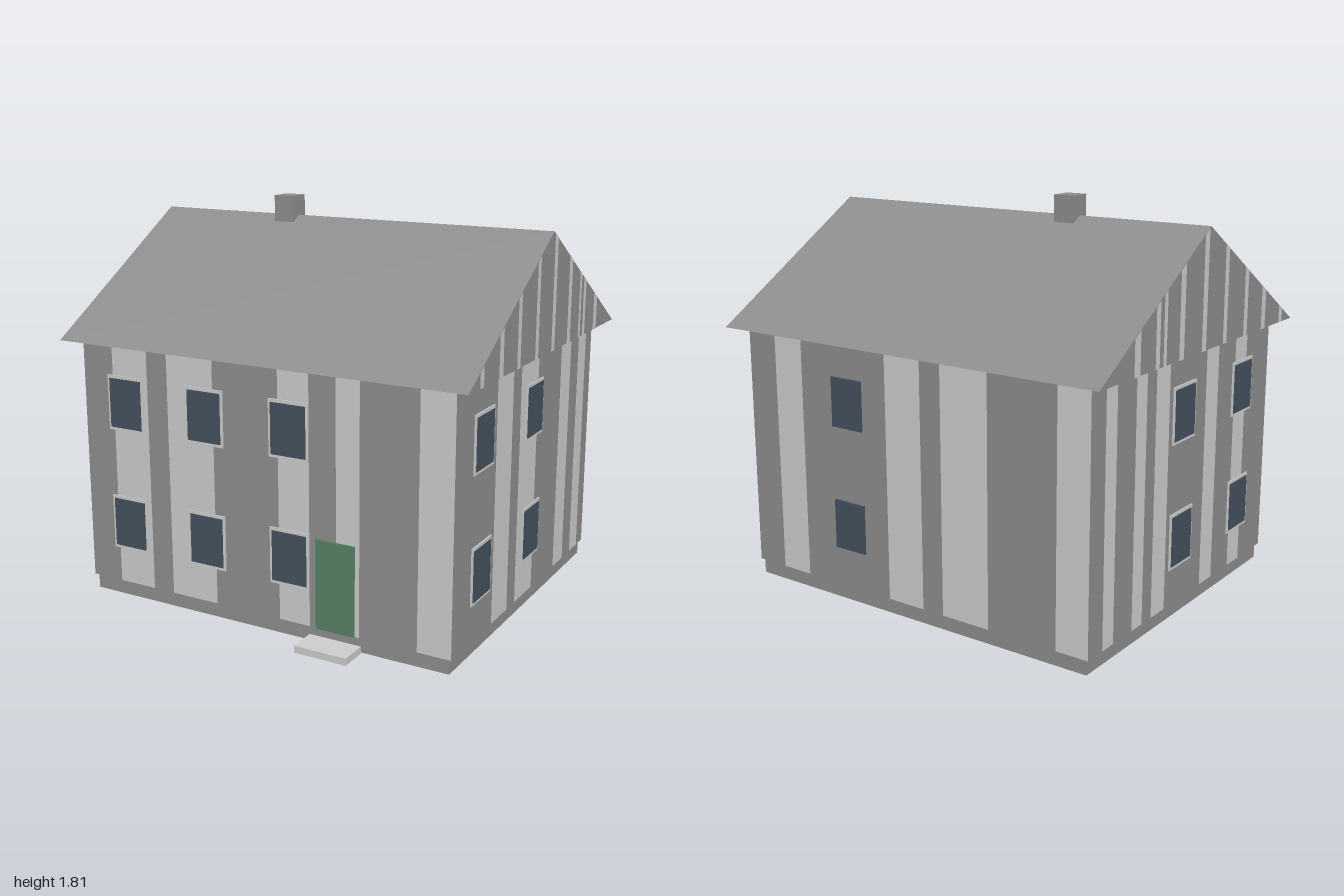
import * as THREE from 'three';

const mat = (name, color) => {
  const m = new THREE.MeshStandardMaterial({ color });
  m.name = name;
  return m;
};

export function createModel() {
  const house = new THREE.Group();
  house.name = 'house';

  const stone = mat('mid grey', 0x8e8e8e);
  const pale = mat('pale grey', 0xcdcdcd);
  const glass = mat('window blue', 0x44515f);
  const green = mat('door green', 0x588266);

  const add = (parent, name, geometry, material) => {
    const mesh = new THREE.Mesh(geometry, material);
    mesh.name = name;
    parent.add(mesh);
    return mesh;
  };

  // Box given by its limits on each axis
  const box = (parent, name, material, x0, x1, y0, y1, z0, z1) => {
    const g = new THREE.BoxGeometry(x1 - x0, y1 - y0, z1 - z0);
    g.translate((x0 + x1) / 2, (y0 + y1) / 2, (z0 + z1) / 2);
    return add(parent, name, g, material);
  };

  // Main masses
  box(house, 'plinth', stone, -0.91, 0.91, 0, 0.07, -0.797, 0.74);
  box(house, 'walls', stone, -0.923, 0.923, 0.07, 1.2, -0.808, 0.753);
  box(house, 'chimney', stone, -0.36, -0.26, 1.69, 1.81, -0.085, 0.02);
  box(house, 'doorstep', pale, 0.26, 0.51, 0.003, 0.035, 0.755, 0.885);

  // Roof: triangular prism along x, its shape drawn with x = -z
  const eaveY = 1.2, ridgeY = 1.72, ridgeZ = -0.03, frontZ = 0.82, backZ = -0.88;
  const triangle = new THREE.Shape([
    new THREE.Vector2(-frontZ, eaveY),
    new THREE.Vector2(-backZ, eaveY),
    new THREE.Vector2(-ridgeZ, ridgeY),
  ]);
  const roof = new THREE.ExtrudeGeometry(triangle, { depth: 2, bevelEnabled: false });
  roof.translate(0, 0, -1);
  roof.rotateY(Math.PI / 2);
  add(house, 'roof', roof, stone);

  // Each wall is a group facing its own +z; u runs to the right seen from outside
  const wall = (name, turn, x, z) => {
    const g = new THREE.Group();
    g.name = name;
    g.rotation.y = turn;
    g.position.set(x, 0, z);
    house.add(g);
    return g;
  };
  const front = wall('frontWall', 0, 0, 0.753);
  const right = wall('rightWall', Math.PI / 2, 0.923, 0);
  const back = wall('backWall', Math.PI, 0, -0.808);
  const left = wall('leftWall', -Math.PI / 2, -0.923, 0);

  // Pale vertical bands
  const bands = (parent, list) => list.forEach(([a, b]) =>
    box(parent, 'paleBand', pale, a, b, 0.071, 1.199, -0.001, 0.002));
  bands(front, [[-0.76, -0.57], [-0.46, -0.22], [0.11, 0.26], [0.39, 0.5], [0.77, 0.923]]);
  bands(right, [[-0.345, -0.18], [-0.085, 0.11], [0.4, 0.52], [0.63, 0.725]]);
  bands(back, [[-0.76, -0.6], [-0.11, 0.08], [0.19, 0.43], [0.77, 0.923]]);
  bands(left, [[-0.7, -0.62], [-0.47, -0.39], [-0.31, -0.2], [0.13, 0.24], [0.41, 0.52]]);

  // Two-storey columns of windows, with optional pale frames
  const windows = (parent, centres, framed) => {
    for (const u of centres) for (const y of [0.362, 0.928]) {
      if (framed) box(parent, 'windowFrame', pale, u - 0.097, u + 0.097, y - 0.127, y + 0.127, -0.001, 0.006);
      box(parent, 'windowPane', glass, u - 0.085, u + 0.085, y - 0.113, y + 0.113, 0, 0.0099);
    }
  };
  windows(front, [-0.69, -0.264, 0.163], true);
  windows(right, [-0.48, 0.07], true);
  windows(left, [-0.07, 0.48], true);
  windows(back, [-0.33], false);

  box(front, 'door', green, 0.295, 0.48, 0.071, 0.475, 0, 0.0099);

  // Pale boards on both gables, cut along the roof slope
  const roofY = (z) => z > ridgeZ
    ? eaveY + (ridgeY - eaveY) * (frontZ - z) / (frontZ - ridgeZ)
    : eaveY + (ridgeY - eaveY) * (z - backZ) / (ridgeZ - backZ);
  const boards = [[0.68, 0.715], [0.49, 0.53], [0.31, 0.345], [0.113, 0.147], [-0.08, -0.042],
    [-0.275, -0.235], [-0.405, -0.38], [-0.467, -0.435], [-0.63, -0.585]];
  for (const side of [1, -1]) {
    const gable = wall(side > 0 ? 'rightGable' : 'leftGable', side * Math.PI / 2, side, 0);
    for (const [z0, z1] of boards) {
      const shape = new THREE.Shape([[z0, eaveY], [z1, eaveY], [z1, roofY(z1)], [z0, roofY(z0)]]
        .map(([z, y]) => new THREE.Vector2(-side * z, y)));
      add(gable, 'gableBoard', new THREE.ShapeGeometry(shape), pale).position.z = 0.002;
    }
  }

  return house;
}
